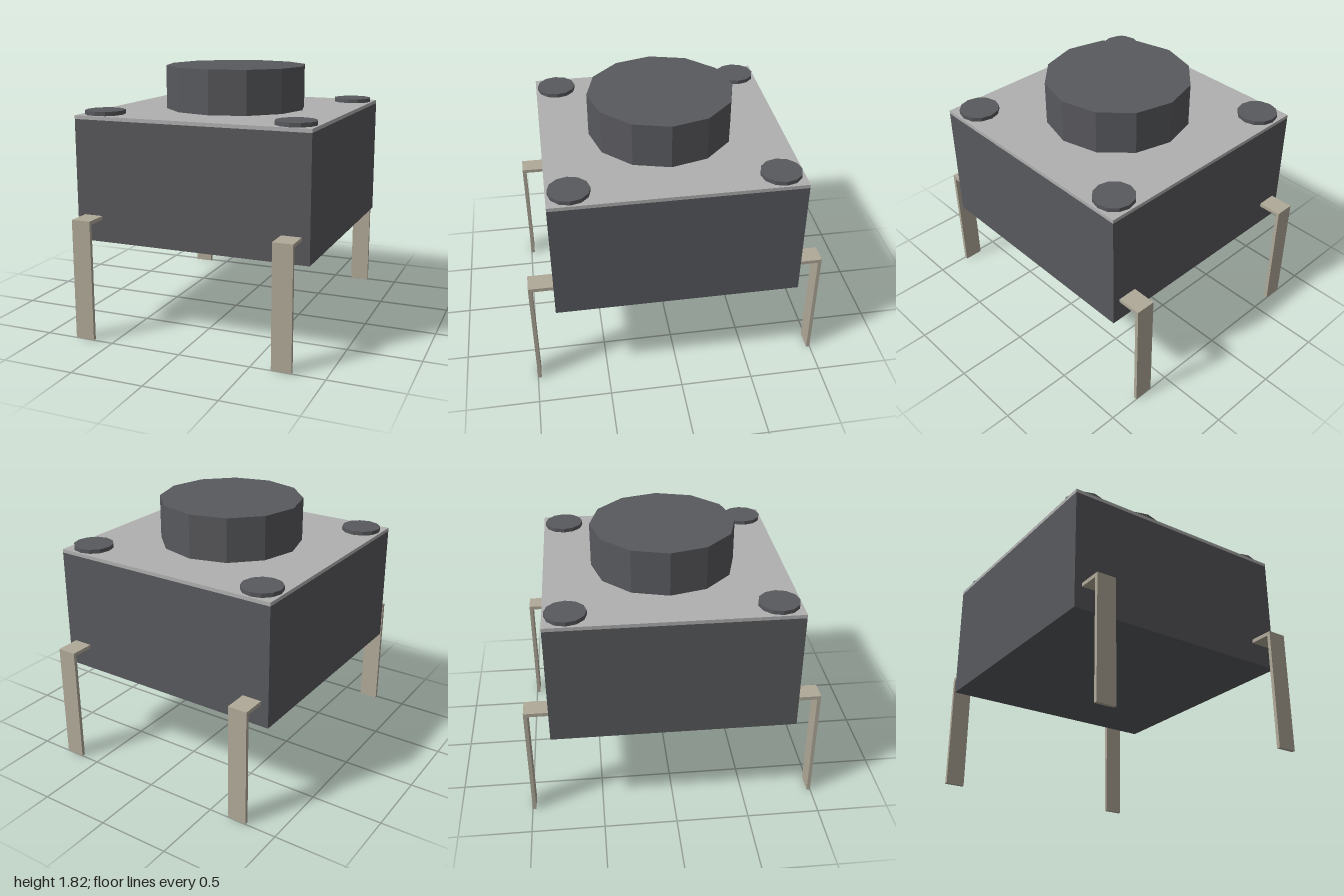
import * as THREE from 'three';

export function createModel() {
  const model = new THREE.Group();
  const paint = (color) => new THREE.MeshStandardMaterial({ color, flatShading: true });
  const dark = paint(0x58595d), steel = paint(0xb0b0b0), tin = paint(0xb0a999);

  const add = (name, geometry, material, x = 0, y = 0, z = 0) => {
    const mesh = new THREE.Mesh(geometry, material);
    mesh.name = name;
    mesh.position.set(x, y, z);
    model.add(mesh);
    return mesh;
  };
  // solids measured from their bottom to their top height
  const block = (name, width, y0, y1, material) =>
    add(name, new THREE.BoxGeometry(width, y1 - y0, width), material, 0, (y0 + y1) / 2, 0);
  const disc = (name, r, y0, y1, x = 0, z = 0) =>
    add(name, new THREE.CylinderGeometry(r, r, y1 - y0, 12), dark, x, (y0 + y1) / 2, z);

  // housing, cover plate and push button
  block('housing', 1.664, 0.655, 1.49, dark);
  block('coverPlate', 1.664, 1.49, 1.515, steel);
  disc('button', 0.5, 1.515, 1.82);

  // bent pin: L-shaped strip drawn in z and y, then extruded across x
  const bend = new THREE.Shape([
    [0.83, 0.81], [0.975, 0.81], [0.975, 0], [1, 0], [1, 0.836], [0.83, 0.836],
  ].map(([z, y]) => new THREE.Vector2(z, y)));
  const pinGeometry = new THREE.ExtrudeGeometry(bend, { depth: 0.136, bevelEnabled: false });
  pinGeometry.translate(0, 0, -0.068).rotateY(-Math.PI / 2);

  // one rivet and one pin at every corner
  for (const sx of [-1, 1]) {
    for (const sz of [-1, 1]) {
      const corner = (sz > 0 ? 'front' : 'back') + (sx > 0 ? 'Left' : 'Right');
      disc(corner + 'Rivet', 0.137, 1.515, 1.543, sx * 0.682, sz * 0.682);
      const pin = add(corner + 'Pin', pinGeometry, tin, sx * 0.71);
      if (sz < 0) pin.rotation.y = Math.PI;
    }
  }
  return model;
}
